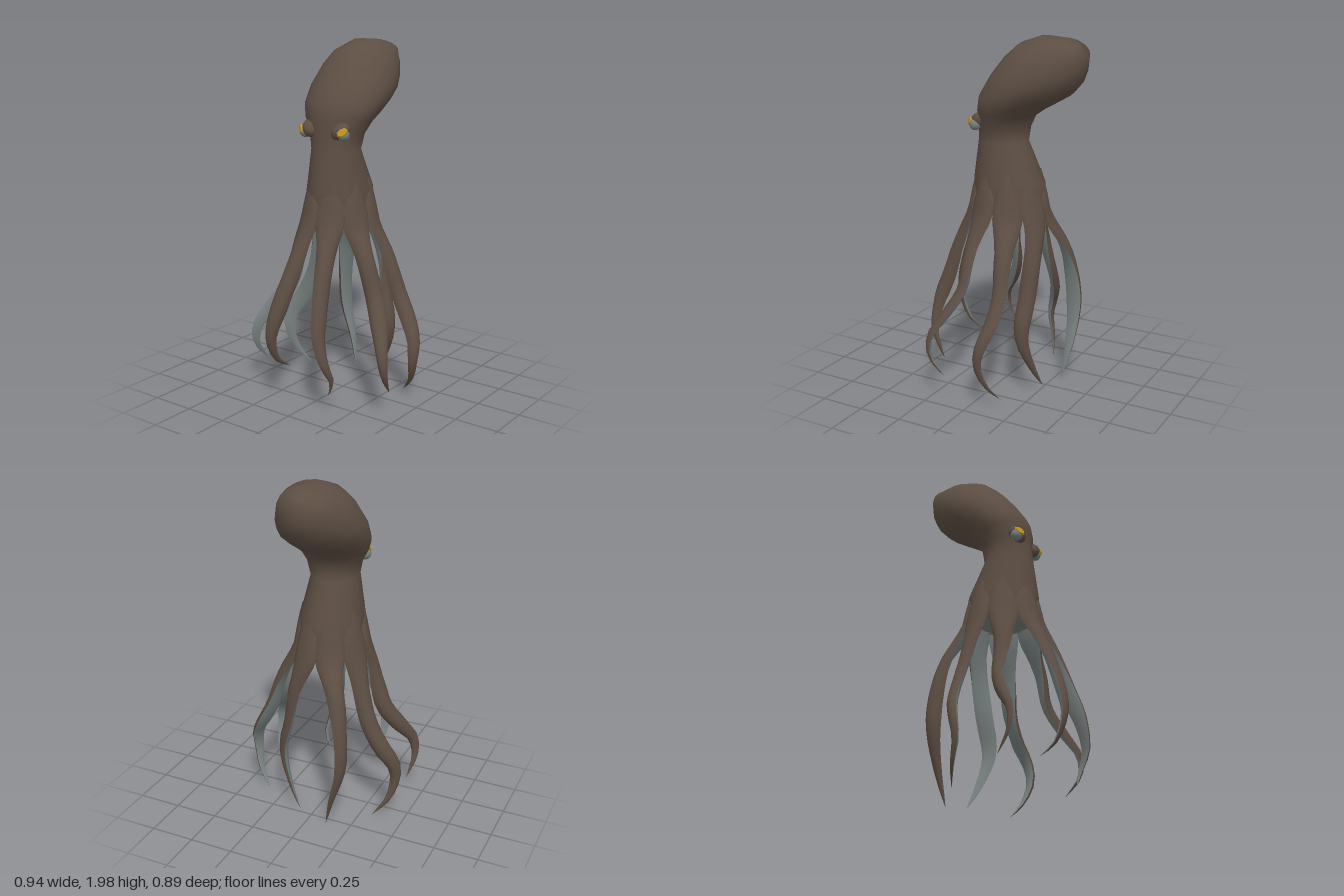
import * as THREE from 'three';

const V = (x, y, z) => new THREE.Vector3(x, y, z);
const CX = -0.02; // body axis

const mat = (name, color, side = THREE.FrontSide) => {
  const m = new THREE.MeshStandardMaterial({ color, side });
  m.name = name;
  return m;
};

function part(name, geometry, material) {
  const m = new THREE.Mesh(geometry, material);
  m.name = name;
  return m;
}

// Skin stretched over a list of rings with equal point counts
function loft(rings, closed) {
  const n = rings[0].length, pos = [], idx = [];
  rings.forEach(r => r.forEach(p => pos.push(p.x, p.y, p.z)));
  for (let i = 0; i < rings.length - 1; i++) {
    for (let j = 0; j < (closed ? n : n - 1); j++) {
      const k = (j + 1) % n, a = i * n + j, b = i * n + k;
      idx.push(a, b, b + n, a, b + n, a + n);
    }
  }
  const g = new THREE.BufferGeometry();
  g.setAttribute('position', new THREE.Float32BufferAttribute(pos, 3));
  g.setIndex(idx);
  g.computeVertexNormals();
  return g;
}

// Body sections: front z, front y, back z, back y, half width
const BODY = [
  [0.2, 1.06, -0.2, 1.06, 0.172],
  [0.203, 1.2, -0.205, 1.2, 0.175],
  [0.175, 1.42, -0.105, 1.42, 0.135],
  [0.165, 1.52, -0.115, 1.5, 0.155],
  [0.165, 1.6, -0.14, 1.56, 0.195],
  [0.15, 1.68, -0.2, 1.6, 0.222],
  [0.08, 1.79, -0.28, 1.645, 0.235],
  [0, 1.89, -0.36, 1.69, 0.225],
  [-0.08, 1.96, -0.42, 1.755, 0.195],
  [-0.2, 2, -0.447, 1.82, 0.155],
  [-0.34, 1.99, -0.455, 1.9, 0.105],
  [-0.415, 1.955, -0.416, 1.954, 0.001],
];

function bodyRing([fz, fy, bz, by, w]) {
  return Array.from({ length: 18 }, (_, j) => {
    const t = (j / 18) * Math.PI * 2, c = Math.cos(t) / 2;
    return V(CX + w * Math.sin(t), (fy + by) / 2 + (fy - by) * c, (fz + bz) / 2 + (fz - bz) * c);
  });
}

// Side arms share one path per mirrored pair
const MID_FRONT = [[0.238, 0.8, 0.1], [0.295, 0.625, 0.11], [0.375, 0.48, 0.18], [0.43, 0.38, 0.24], [0.445, 0.27, 0.24], [0.425, 0.15, 0.16]];
const MID_BACK = [[0.238, 0.8, -0.1], [0.295, 0.625, -0.115], [0.37, 0.48, -0.105], [0.43, 0.37, -0.07], [0.435, 0.265, -0.055], [0.405, 0.145, -0.09], [0.33, 0.045, -0.135]];
const mirror = path => path.map(([x, y, z]) => [-x, y, z]);

// Front and back arms curl individually
const FRONT_LEFT = [[0.07, 0.8, 0.27], [0.085, 0.62, 0.33], [0.115, 0.45, 0.385], [0.16, 0.31, 0.39], [0.18, 0.21, 0.35], [0.15, 0.12, 0.34]];
const FRONT_RIGHT = [[-0.115, 0.8, 0.28], [-0.155, 0.6, 0.36], [-0.19, 0.4, 0.41], [-0.185, 0.26, 0.36], [-0.17, 0.2, 0.27]];
const BACK_LEFT = [[0.105, 0.8, -0.21], [0.14, 0.6, -0.2], [0.19, 0.37, -0.19], [0.13, 0.17, -0.23], [0.065, 0.05, -0.26]];
const BACK_RIGHT = [[-0.165, 0.8, -0.27], [-0.2, 0.6, -0.31], [-0.2, 0.4, -0.32], [-0.15, 0.2, -0.315], [-0.11, 0.02, -0.29]];

// Round the ring from the front, 45 degrees apart: name, path, twist in degrees
const ARMS = [
  ['frontLeftArm', FRONT_LEFT, 50],
  ['midFrontLeftArm', MID_FRONT, -40],
  ['midBackLeftArm', MID_BACK, -50],
  ['backLeftArm', BACK_LEFT, -50],
  ['backRightArm', BACK_RIGHT, 60],
  ['midBackRightArm', mirror(MID_BACK), -30],
  ['midFrontRightArm', mirror(MID_FRONT), -75],
  ['frontRightArm', FRONT_RIGHT, 45],
];

// Arm half width and depth swell at the web, then taper to a point
function armSize(u) {
  const web = Math.exp(-(((u - 0.17) / 0.1) ** 2));
  const tip = Math.min(1, 2.3 * (1 - u) ** 0.8) + 0.01;
  return [(0.052 - 0.008 * u + 0.032 * web) * tip, (0.044 - 0.004 * u - 0.01 * web) * tip];
}

function buildArm(name, path, azimuth, twist, skin, sucker) {
  const radial = deg => {
    const a = THREE.MathUtils.degToRad(deg);
    return V(Math.sin(a), 0, Math.cos(a));
  };
  // Root hidden in the body, leaving along its oval outline
  const root = (f, y) => radial(azimuth).multiply(V(0.185 * f, 0, 0.21 * f)).add(V(CX, y, 0));
  const curve = new THREE.CatmullRomCurve3([root(0.66, 1.25), root(0.88, 1.1), root(1, 1), ...path.map(p => V(...p))]);
  const outer = [], inner = [];
  for (let i = 0; i <= 22; i++) {
    const u = i / 22, c = curve.getPointAt(u), t = curve.getTangentAt(u);
    const out = radial(azimuth + twist * THREE.MathUtils.smoothstep(u, 0.2, 0.6));
    out.addScaledVector(t, -out.dot(t)).normalize();
    const side = t.clone().cross(out);
    const [w, d] = armSize(u);
    const at = (s, n) => c.clone().addScaledVector(side, s * w).addScaledVector(out, n * d);
    outer.push([0, 1, 2, 3, 4, 5, 6].map(k => at(-Math.cos(k * Math.PI / 6), Math.sin(k * Math.PI / 6))));
    inner.push([at(1, 0), at(0.5, -0.3), at(-0.5, -0.3), at(-1, 0)]);
  }
  const g = new THREE.Group();
  g.name = name;
  g.add(part('armSkin', loft(outer, false), skin), part('armUnderside', loft(inner, false), sucker));
  return g;
}

export function createModel() {
  const model = new THREE.Group();
  model.name = 'octopus';
  const skin = mat('brownSkin', 0x5d4e43, THREE.DoubleSide);
  const sucker = mat('greyUnderside', 0x76807e, THREE.DoubleSide);
  const gold = mat('goldEye', 0xc8961a);

  // Head, mantle and skirt
  model.add(part('mantle', loft(BODY.map(bodyRing), true), skin));

  // Underside between the arms
  const mouth = part('mouthDisc', new THREE.CircleGeometry(0.17, 18), sucker);
  mouth.rotation.x = Math.PI / 2;
  mouth.position.set(CX, 1.065, 0);
  model.add(mouth);

  // Ring of eight arms
  ARMS.forEach(([name, path, twist], i) => {
    model.add(buildArm(name, path, 22.5 + 45 * i, twist, skin, sucker));
  });

  // Eyes: hooded lid, ball and slanted iris facing outwards
  for (const s of [1, -1]) {
    const eye = new THREE.Group();
    eye.name = s > 0 ? 'leftEye' : 'rightEye';
    const lid = part('eyelid', new THREE.SphereGeometry(0.046, 10, 8), skin);
    lid.scale.set(1.25, 0.9, 1);
    lid.position.set(0, 0.014, -0.018);
    const ball = part('eyeball', new THREE.SphereGeometry(0.034, 10, 8), sucker);
    ball.position.set(0, -0.01, 0.002);
    const iris = part('iris', new THREE.CylinderGeometry(0.016, 0.021, 0.009, 8), gold);
    iris.rotation.x = Math.PI / 2;
    iris.scale.x = 1.6;
    iris.position.set(0, 0.004, 0.033);
    eye.add(lid, ball, iris);
    eye.position.set(CX + s * 0.12, 1.525, 0.142);
    eye.lookAt(eye.position.clone().add(V(s * 0.6, 0.15, 0.75)));
    eye.rotateZ(s * 0.6);
    model.add(eye);
  }
  return model;
}
